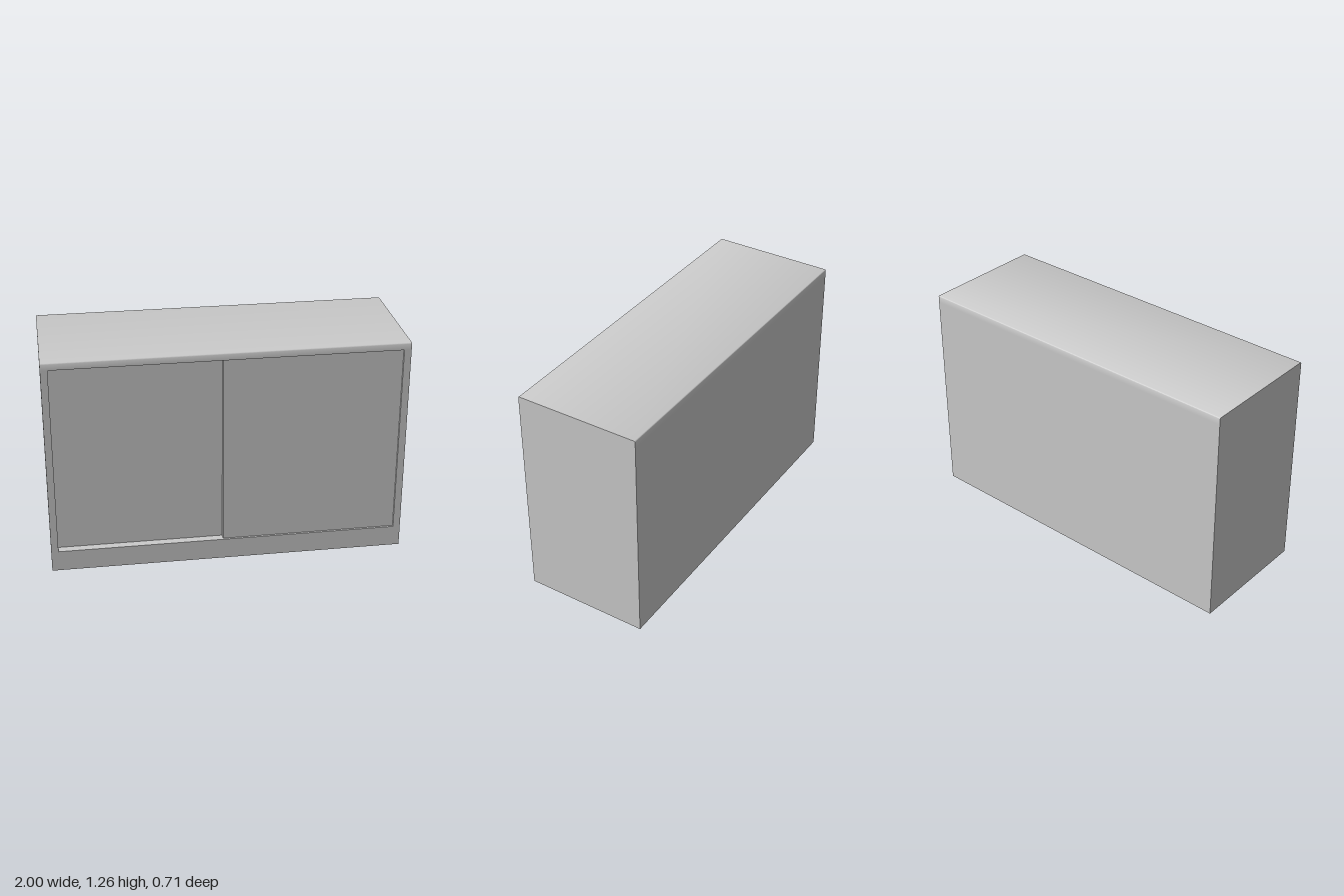
import * as THREE from 'three';
import { toCreasedNormals } from 'three/addons/utils/BufferGeometryUtils.js';

const W = 2, H = 1.26, D = 0.715; // overall size
const T = 0.04;                   // panel thickness
const BASE = 0.12;                // height of the plinth
const FRONT = D / 2;

export function createModel() {
  const cabinet = new THREE.Group();
  cabinet.name = 'slidingDoorCabinet';
  const material = new THREE.MeshStandardMaterial({ color: 0xcccccc });

  // Box given by its lower and upper limits on each axis
  function panel(name, [x0, x1], [y0, y1], [z0, z1]) {
    const mesh = new THREE.Mesh(new THREE.BoxGeometry(x1 - x0, y1 - y0, z1 - z0), material);
    mesh.position.set((x0 + x1) / 2, (y0 + y1) / 2, (z0 + z1) / 2);
    mesh.name = name;
    cabinet.add(mesh);
  }

  // Carcass: sides, plinth with cabinet floor, back
  const inner = W / 2 - T, top = H - T;
  panel('leftSide', [inner, W / 2], [0, top], [-FRONT, FRONT]);
  panel('rightSide', [-W / 2, -inner], [0, top], [-FRONT, FRONT]);
  panel('plinth', [-inner, inner], [0, BASE], [-FRONT, FRONT]);
  panel('backPanel', [-inner, inner], [BASE, top], [-FRONT, -FRONT + T]);

  // Top with slightly eased front and back edges
  const r = 0.006;
  const profile = new THREE.Shape();
  profile.moveTo(-FRONT, top);
  profile.lineTo(FRONT, top);
  profile.lineTo(FRONT, H - r);
  profile.absarc(FRONT - r, H - r, r, 0, Math.PI / 2, false);
  profile.absarc(-FRONT + r, H - r, r, Math.PI / 2, Math.PI, false);
  profile.closePath();
  const slab = new THREE.ExtrudeGeometry(profile, { depth: W, bevelEnabled: false, curveSegments: 4 });
  slab.translate(0, 0, -W / 2).rotateY(Math.PI / 2);
  const topPanel = new THREE.Mesh(toCreasedNormals(slab, Math.PI / 5), material);
  topPanel.name = 'topPanel';
  cabinet.add(topPanel);

  // Two sliding doors on separate tracks, overlapping at the middle
  panel('frontSlidingDoor', [-0.03, inner], [BASE, top], [FRONT - 0.042, FRONT - 0.012]);
  panel('rearSlidingDoor', [-inner, 0.03], [BASE, top], [FRONT - 0.077, FRONT - 0.047]);

  return cabinet;
}
